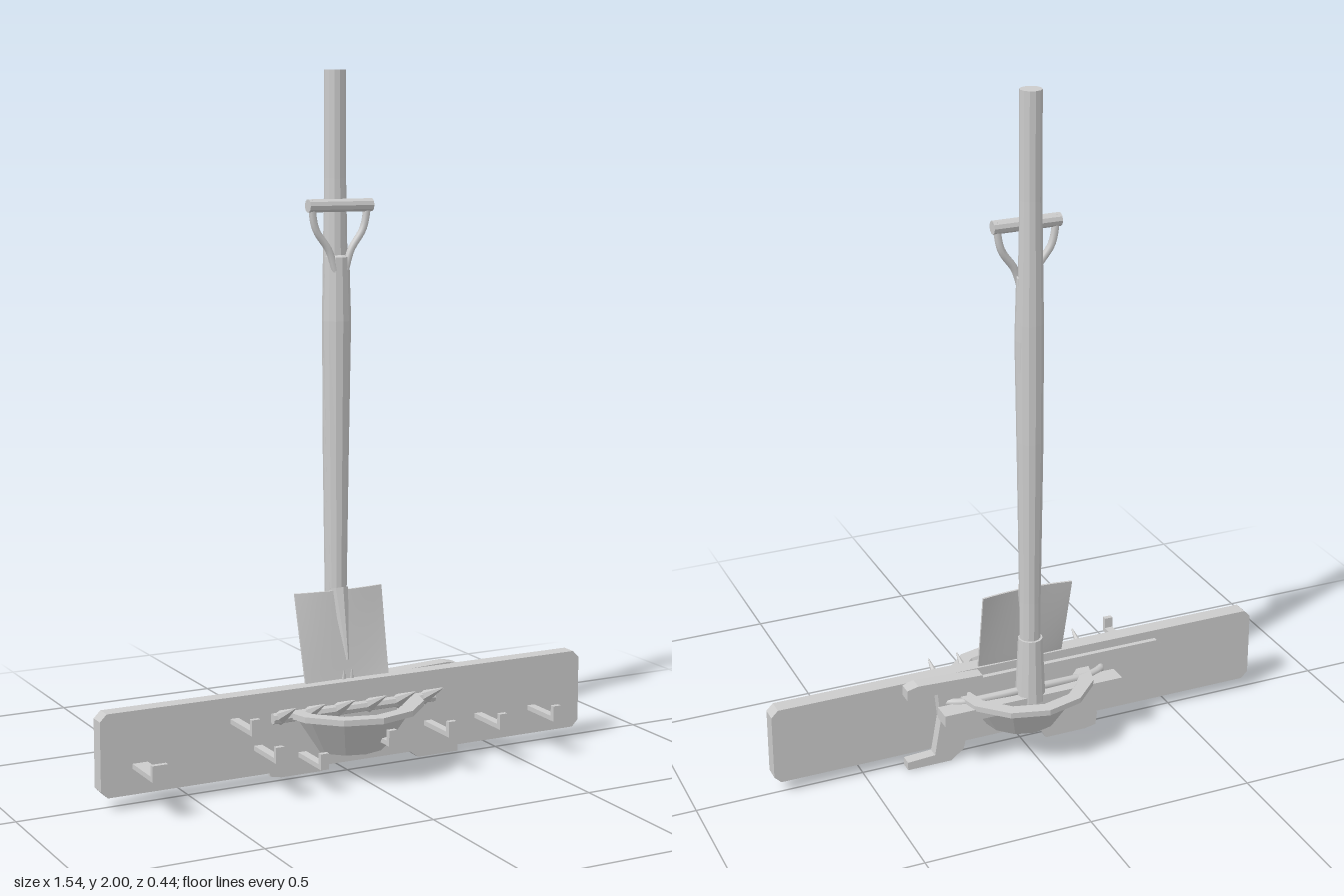
import * as THREE from 'three';

export function createModel() {
  const model = new THREE.Group();
  const flat = new THREE.MeshStandardMaterial({ color: 0xcccccc, flatShading: true, side: THREE.DoubleSide });
  const smooth = new THREE.MeshStandardMaterial({ color: 0xcccccc, side: THREE.DoubleSide });
  const V = (x, y, z) => new THREE.Vector3(x, y, z);

  const add = (name, geo, x = 0, y = 0, z = 0, mat = flat) => {
    const mesh = new THREE.Mesh(geo, mat);
    mesh.name = name;
    mesh.position.set(x, y, z);
    model.add(mesh);
    return mesh;
  };
  const box = (name, x0, x1, y0, y1, z0, z1) =>
    add(name, new THREE.BoxGeometry(x1 - x0, y1 - y0, z1 - z0), (x0 + x1) / 2, (y0 + y1) / 2, (z0 + z1) / 2);
  const plate = (name, pts, z, depth) =>
    add(name, new THREE.ExtrudeGeometry(new THREE.Shape(pts.map(p => new THREE.Vector2(...p))),
      { depth, bevelEnabled: false }), 0, 0, z);
  const lathe = (name, pts, sides, x, y, z, mat) =>
    add(name, new THREE.LatheGeometry(pts.map(p => new THREE.Vector2(...p)), sides), x, y, z, mat);
  const tube = (name, pts, r, segments = 16) =>
    add(name, new THREE.TubeGeometry(new THREE.CatmullRomCurve3(pts), segments, r, 8), 0, 0, 0, smooth);
  // tapered rod between two points
  const rod = (name, a, b, r0, r1, sides = 8) => {
    const dir = b.clone().sub(a);
    const mesh = add(name, new THREE.CylinderGeometry(r1, r0, dir.length(), sides));
    mesh.position.copy(a).addScaledVector(dir, 0.5);
    mesh.quaternion.setFromUnitVectors(V(0, 1, 0), dir.normalize());
    return mesh;
  };

  // wall board with clipped corners
  const c = 0.02;
  plate('board', [[-0.77 + c, 0.04], [0.77 - c, 0.04], [0.77, 0.04 + c], [0.77, 0.275 - c],
    [0.77 - c, 0.275], [-0.77 + c, 0.275], [-0.77, 0.275 - c], [-0.77, 0.04 + c]], -0.012, 0.047);

  // hooked pegs: x, y, width
  [[-0.655, 0.135, 0.045], [-0.372, 0.222, 0.025], [-0.3, 0.135, 0.025], [-0.162, 0.097, 0.025],
    [0.053, 0.135, 0.025], [0.247, 0.135, 0.025], [0.418, 0.135, 0.025], [0.602, 0.135, 0.025]]
    .forEach(([x, y, w]) => {
      box('pegArm', x - w / 2, x + w / 2, y - 0.022, y - 0.008, 0.03, 0.175);
      box('pegTip', x - w / 2, x + w / 2, y - 0.022, y + 0.024, 0.163, 0.178);
    });

  // faceted bowl with a thick rim
  lathe('bowl', [[0, 0.08], [0.115, 0.08], [0.185, 0.185], [0.22, 0.195], [0.22, 0.212],
    [0.18, 0.212], [0.165, 0.19], [0.1, 0.1], [0, 0.1]], 12, 0, 0, 0);

  // long pole with its socket
  lathe('pole', [[0, 0.2], [0.031, 0.2], [0.031, 0.5], [0.037, 1.0], [0.037, 1.35], [0.031, 1.7],
    [0.031, 2.0], [0, 2.0]], 12, 0, 0, -0.074);
  lathe('poleSocket', [[0, 0.18], [0.045, 0.18], [0.036, 0.38], [0, 0.38]], 12, 0, 0, -0.077);
  box('poleHead', -0.283, 0.283, 0.165, 0.2, -0.113, -0.055);

  // shovel shaft, neck and D grip
  lathe('shovelShaft', [[0, 0.5], [0.028, 0.5], [0.034, 0.9], [0.041, 1.3], [0.036, 1.48], [0, 1.5]],
    12, 0, 0, -0.065);
  rod('shovelNeck', V(0, 0.33, 0.002), V(0, 0.53, -0.052), 0.004, 0.028);
  for (const s of [-1, 1]) {
    tube('gripArm', [V(s * 0.015, 1.44, -0.043), V(s * 0.035, 1.5, -0.045),
      V(s * 0.075, 1.56, -0.047), V(s * 0.09, 1.64, -0.045)], 0.011);
  }
  rod('gripBar', V(-0.1, 1.625, -0.045), V(0.1, 1.625, -0.045), 0.019, 0.019, 10);

  // curved shovel blade, bowed across and leaning back towards its top
  const blade = new THREE.BoxGeometry(0.28, 0.29, 0.007, 10, 8, 1);
  const bp = blade.attributes.position;
  for (let i = 0; i < bp.count; i++) {
    const u = bp.getX(i) / 0.14, t = bp.getY(i) / 0.29 + 0.5;
    bp.setZ(i, bp.getZ(i) + 0.005 - 0.05 * Math.pow(t, 0.9) - 0.018 * u * u * (t - 0.3));
    bp.setX(i, bp.getX(i) * (0.95 + 0.05 * t));
  }
  blade.computeVertexNormals();
  add('shovelBlade', blade, 0, 0.38, 0, smooth);

  // rake head, tines and bow
  rod('rakeBar', V(-0.26, 0.2, 0.045), V(0.26, 0.2, 0.045), 0.016, 0.016);
  for (const x of [-0.233, -0.143, -0.05, 0.05, 0.143, 0.233]) {
    rod('rakeTine', V(x, 0.197, 0.035), V(x * 1.01, 0.25, 0.14), 0.021, 0.002, 6);
  }
  for (const s of [-1, 1]) {
    tube('rakeBow', [V(s * 0.235, 0.2, 0.04), V(s * 0.255, 0.2, -0.025), V(s * 0.21, 0.2, -0.055),
      V(s * 0.1, 0.205, -0.07), V(0, 0.21, -0.075)], 0.012);
    rod('bowTip', V(s * 0.015, 0.24, 0), V(s * 0.012, 0.3, 0.005), 0.01, 0.002, 6);
  }

  // toothed saw blade behind the board
  const saw = [[0.2, 0.25], [-0.44, 0.25], [-0.46, 0.23], [-0.46, 0.13]];
  for (let x = -0.44; x < 0.15; x += 0.06) saw.push([x, 0.105], [x + 0.03, 0.13]);
  saw.push([0.2, 0.13]);
  plate('sawBlade', saw, -0.029, 0.015);

  // saw handle frame
  plate('sawHandle', [[0.14, 0.24], [0.375, 0.24], [0.375, 0.272], [0.34, 0.28], [0.14, 0.272]], -0.052, 0.042);
  plate('sawGrip', [[0.19, 0.25], [0.28, 0.25], [0.27, 0.15], [0.29, 0.035], [0.375, 0.03],
    [0.375, 0.005], [0.24, 0.005], [0.2, 0.035], [0.18, 0.12]], -0.045, 0.035);

  // small cutting blade hanging below the board
  plate('hangingBlade', [[-0.24, 0.05], [-0.235, 0.01], [-0.2, 0.003], [-0.07, 0.003], [-0.055, 0.03],
    [-0.06, 0.13], [-0.2, 0.13]], -0.035, 0.012);

  return model;
}
